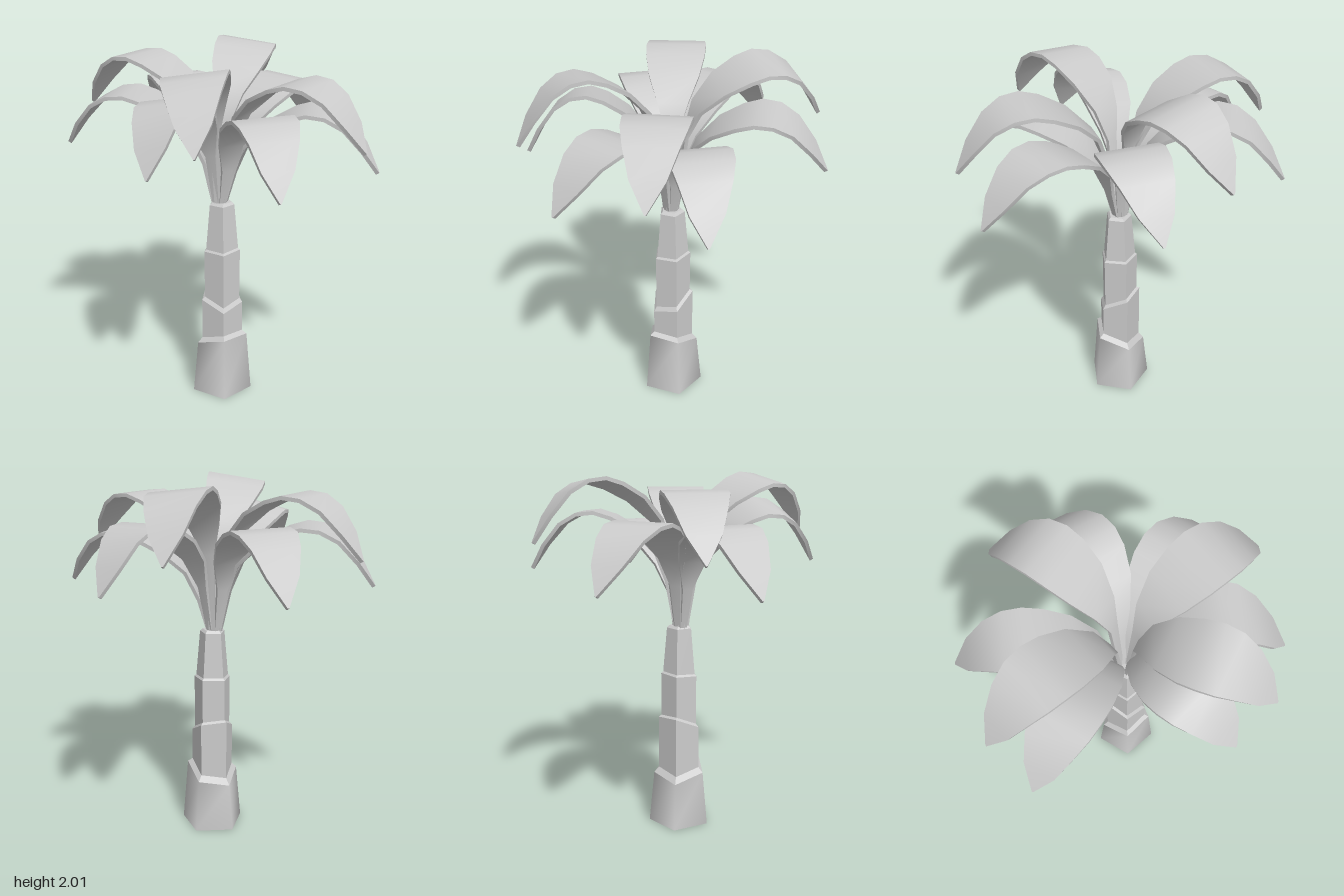
import * as THREE from 'three';
import { mergeGeometries, toCreasedNormals } from 'three/addons/utils/BufferGeometryUtils.js';

const material = new THREE.MeshStandardMaterial({ color: 0xcccccc });

// Skin a series of rings (counter-clockwise seen from the far end), optionally capped
function loft(rings, capStart, capEnd, crease) {
  const pos = [];
  const tri = (a, b, c) => pos.push(...a, ...b, ...c);
  const n = rings[0].length;
  for (let i = 0; i < rings.length - 1; i++) {
    for (let j = 0; j < n; j++) {
      const k = (j + 1) % n;
      const [a, b, c, d] = [rings[i][j], rings[i][k], rings[i + 1][k], rings[i + 1][j]];
      tri(a, b, c);
      tri(a, c, d);
    }
  }
  const last = rings[rings.length - 1];
  for (let j = 1; j < n - 1; j++) {
    if (capStart) tri(rings[0][0], rings[0][j + 1], rings[0][j]);
    if (capEnd) tri(last[0], last[j], last[j + 1]);
  }
  const g = new THREE.BufferGeometry();
  g.setAttribute('position', new THREE.Float32BufferAttribute(pos, 3));
  g.computeVertexNormals();
  return toCreasedNormals(g, crease);
}

// Five-sided ring whose height may slope along x and z
function trunkRing(r, y, slopeX = 0, slopeZ = 0) {
  return Array.from({ length: 5 }, (_, i) => {
    const a = (i * Math.PI * 2) / 5;
    const x = 0.012 + r * Math.cos(a), z = -r * Math.sin(a);
    return [x, y + slopeX * x + slopeZ * z, z];
  });
}

// Trunk piece: tapered side, then a bevelled lip and flat top
function trunkSegment({ r0, y0, r1, y1, sx = 0, sz = 0, lip = 0.025, crease = 0.5 }) {
  const rim = trunkRing(r1, y1, sx, sz);
  const side = loft([trunkRing(r0, y0), rim], true, false, crease);
  const top = loft([rim, trunkRing(r1 - lip, y1 + lip, sx, sz)], false, true, 0.3);
  return mergeGeometries([side, top]);
}

// Frond centre line: reach, height below the crest, half width
const PROFILE = [
  [0.02, -0.6, 0.018], [0.07, -0.38, 0.03], [0.13, -0.22, 0.08], [0.25, -0.1, 0.135],
  [0.38, -0.03, 0.16], [0.48, 0, 0.165], [0.58, -0.01, 0.157], [0.68, -0.065, 0.13],
  [0.78, -0.18, 0.085], [0.86, -0.31, 0.004],
];

// Thin arching blade from the crown to the tip; bow bends it sideways, roll tilts it
function frond({ tip, crest, bow, roll }) {
  const reach = Math.hypot(...tip);
  const dx = tip[0] / reach, dz = tip[1] / reach;
  const line = PROFILE.map(([r, y, w], i) => [
    (r * reach) / 0.86, i === 0 ? 1.17 : crest + y, w,
  ]);
  const rings = line.map(([r, y, w], i) => {
    const p = line[Math.max(i - 1, 0)], q = line[Math.min(i + 1, line.length - 1)];
    const len = Math.hypot(q[0] - p[0], q[1] - p[1]);
    const nr = -(q[1] - p[1]) / len, ny = (q[0] - p[0]) / len;
    const shift = bow * Math.sin((Math.PI * r) / reach);
    const corner = (side, depth) => {
      const s = shift + side * w, rr = r - nr * depth;
      return [dx * rr - dz * s, y - ny * depth - roll * side * w, dz * rr + dx * s];
    };
    return [corner(-1, 0), corner(1, 0), corner(1, 0.02), corner(-1, 0.02)];
  });
  return loft(rings, true, true, 0.7);
}

export function createModel() {
  const model = new THREE.Group();
  const add = (parent, name, geometry) => {
    const mesh = new THREE.Mesh(geometry, material);
    mesh.name = name;
    parent.add(mesh);
  };

  // Stacked trunk, the lower pieces cut at a slant
  const trunk = new THREE.Group();
  trunk.name = 'trunk';
  [
    { r0: 0.18, y0: 0, r1: 0.15, y1: 0.32, sx: 0.25, sz: 0.25, lip: 0.03, crease: 1.3 },
    { r0: 0.122, y0: 0.24, r1: 0.122, y1: 0.6, sx: -0.25, sz: -0.45, lip: 0.02 },
    { r0: 0.104, y0: 0.5, r1: 0.106, y1: 0.895, sx: 0, sz: -0.06, lip: 0.012 },
    { r0: 0.1, y0: 0.85, r1: 0.072, y1: 1.165, lip: 0.014 },
  ].forEach((s, i) => add(trunk, `trunkSegment${i + 1}`, trunkSegment(s)));
  model.add(trunk);

  // Crown of fronds in a higher and a lower tier; tip is [x, z]
  const crown = new THREE.Group();
  crown.name = 'crown';
  [
    { tip: [0.04, -0.82], crest: 1.99, bow: 0.035, roll: 0.12 },
    { tip: [0.06, 0.81], crest: 1.98, bow: 0.055, roll: 0.15 },
    { tip: [-0.82, -0.27], crest: 1.955, bow: 0, roll: 0 },
    { tip: [0.8, 0.33], crest: 1.91, bow: 0, roll: 0 },
    { tip: [-0.19, 0.74], crest: 1.84, bow: 0.06, roll: 0.2 },
    { tip: [0.39, -0.73], crest: 1.81, bow: 0.06, roll: 0.05 },
    { tip: [-0.52, -0.69], crest: 1.8, bow: -0.04, roll: 0 },
    { tip: [-0.87, 0], crest: 1.78, bow: 0, roll: 0 },
    { tip: [0.44, 0.7], crest: 1.76, bow: -0.06, roll: 0 },
    { tip: [0.86, 0.05], crest: 1.73, bow: -0.04, roll: 0 },
  ].forEach((f, i) => add(crown, `frond${i + 1}`, frond(f)));
  model.add(crown);

  return model;
}
